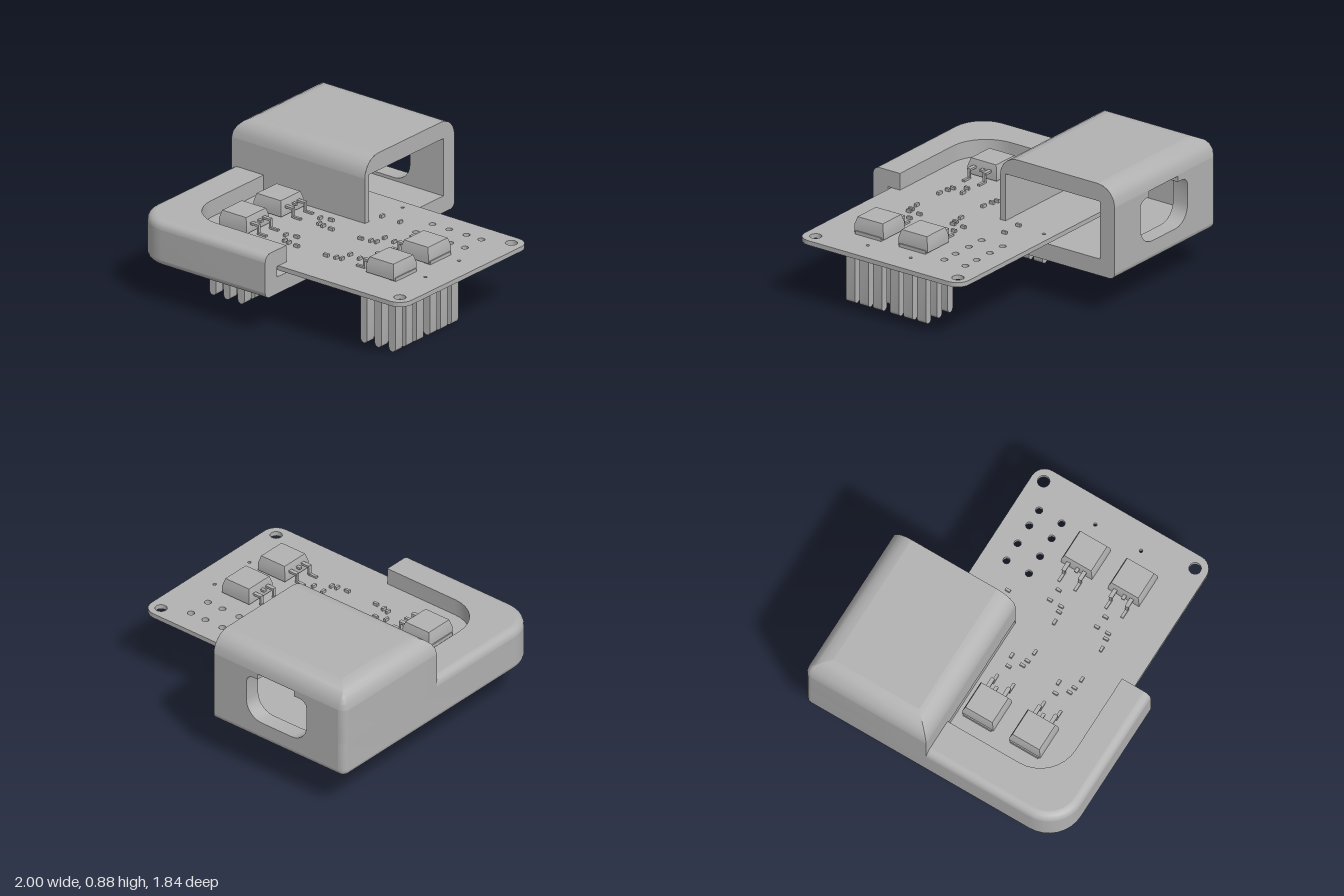
import * as THREE from 'three';
import { toCreasedNormals } from 'three/addons/utils/BufferGeometryUtils.js';

const grey = new THREE.MeshStandardMaterial({ color: 0xb2b2b2, side: THREE.DoubleSide });
grey.name = 'grey';

const PI = Math.PI, CUT = 0.04, BACK = -0.92, FRONT = 0.915, STEP = -0.05;
const V2 = (x, y) => new THREE.Vector2(x, y);

function add(parent, name, geo, x = 0, y = 0, z = 0) {
  const m = new THREE.Mesh(geo, grey);
  m.name = name;
  m.position.set(x, y, z);
  parent.add(m);
  return m;
}
const box = (p, name, w, h, d, x, y, z) => add(p, name, new THREE.BoxGeometry(w, h, d), x, y, z);

// points of an arc in any plane
function arc(cx, cy, r, a0, a1, n = 6) {
  return Array.from({ length: n + 1 }, (_, k) => {
    const a = a0 + (a1 - a0) * k / n;
    return V2(cx + r * Math.cos(a), cy + r * Math.sin(a));
  });
}

// surface through rows of equally many 3D points
function skin(rows) {
  const n = rows[0].length, idx = [];
  for (let r = 0; r < rows.length - 1; r++)
    for (let c = 0; c < n - 1; c++) {
      const a = r * n + c;
      idx.push(a, a + 1, a + n, a + 1, a + n + 1, a + n);
    }
  const g = new THREE.BufferGeometry().setFromPoints(rows.flat());
  g.setIndex(idx);
  return toCreasedNormals(g, 0.45);
}
const level = (pts, y) => pts.map(p => new THREE.Vector3(p.x, y, p.y));
const flat = (pts, y) => new THREE.ShapeGeometry(new THREE.Shape(pts)).rotateX(PI / 2).translate(0, y, 0);
const endFace = (pts, x) => new THREE.ShapeGeometry(new THREE.Shape(pts)).rotateY(-PI / 2).translate(x, 0, 0);
const rect = (x0, y0, x1, y1) => [V2(x0, y0), V2(x1, y0), V2(x1, y1), V2(x0, y1)];

// plan outlines of the case, shrunk by an inset
function backCorner(i) {
  const r = Math.max(0.05 - i, 0.002);
  return arc(-1 + i + r, BACK + i + r, r, -PI / 2, -PI, 4);
}
function frontCorner(i) {
  return [...arc(-0.77, FRONT - 0.23, 0.23 - i, PI, PI / 2, 8), V2(CUT, FRONT - i)];
}
const outer = i => [V2(CUT, BACK + i), ...backCorner(i), ...frontCorner(i)];
const hood = i => [V2(CUT, BACK + i), ...backCorner(i), V2(-1 + i, STEP - i), V2(CUT, STEP - i)];
const rim = i => [V2(-1 + i, STEP), ...frontCorner(i)];
// rounded edge: rows rising from y0 with radius r
const round = (path, y0, r, dir) => Array.from({ length: 6 }, (_, k) => {
  const t = k / 5 * PI / 2;
  return level(path(r * (1 - Math.cos(t))), y0 + dir * r * Math.sin(t));
});

function buildCase() {
  const g = new THREE.Group();
  g.name = 'case';
  // outside of the tray and hood
  add(g, 'bottomEdge', skin(round(outer, 0.31, 0.04, -1)));
  add(g, 'bottom', flat(outer(0.04), 0.27));
  add(g, 'trayWall', skin([level(outer(0).slice(1), 0.31), level(outer(0).slice(1), 0.51)]));
  add(g, 'hoodWall', skin([level(hood(0).slice(1), 0.51), level(hood(0).slice(1), 0.745)]));
  add(g, 'hoodEdge', skin(round(hood, 0.745, 0.13, 1)));
  add(g, 'hoodTop', flat(hood(0.13), 0.875));

  // raised rim with its curved inner edge
  const inner = [V2(CUT, 0.71), ...arc(-0.5, 0.46, 0.25, PI / 2, PI, 8), V2(-0.75, STEP)];
  add(g, 'rimEdge', skin(round(rim, 0.51, 0.05, 1)));
  add(g, 'rimTop', flat([...rim(0.05), ...inner], 0.56));
  add(g, 'rimUnderside', flat([...rim(0.02), ...inner], 0.45));
  add(g, 'rimInnerWall', skin([level(inner, 0.45), level(inner, 0.56)]));
  box(g, 'hoodFrontWall', 0.87, 0.3, 0.038, -0.395, 0.6, -0.071);

  // cut face at the open end
  add(g, 'cutFace', endFace([
    ...arc(BACK + 0.04, 0.31, 0.04, PI, 1.5 * PI), ...arc(FRONT - 0.04, 0.31, 0.04, -PI / 2, 0),
    ...arc(FRONT - 0.05, 0.51, 0.05, 0, PI / 2),
    V2(0.71, 0.56), V2(0.71, 0.45), V2(0.8, 0.45), V2(0.8, 0.38), V2(-0.81, 0.38),
    V2(-0.81, 0.76), V2(-0.09, 0.76), V2(-0.09, 0.45), V2(STEP, 0.45),
    ...arc(STEP - 0.13, 0.745, 0.13, 0, PI / 2), ...arc(BACK + 0.13, 0.745, 0.13, PI / 2, PI)
  ], CUT));

  // cavity
  const line = pts => skin([CUT, -0.9].map(x => pts.map(p => new THREE.Vector3(x, p.y, p.x))));
  add(g, 'cavityFloor', line([V2(0.8, 0.45), V2(0.8, 0.38), V2(-0.81, 0.38)]));
  add(g, 'cavityCeiling', line([V2(-0.81, 0.76), V2(-0.09, 0.76), V2(-0.09, 0.45)]));
  add(g, 'cavityEnd', endFace(rect(-0.81, 0.38, -0.09, 0.76), -0.9));
  add(g, 'slotEnd', endFace(rect(-0.09, 0.38, 0.8, 0.45), -0.9));

  // back wall with a rounded connector window and a tab notch
  const win = [
    ...arc(-0.58, 0.52, 0.12, PI, 1.5 * PI), ...arc(-0.34, 0.52, 0.12, -PI / 2, 0),
    ...arc(-0.27, 0.65, 0.05, 0, PI / 2, 3), V2(-0.31, 0.7), V2(-0.31, 0.738),
    V2(-0.6, 0.738), V2(-0.6, 0.7), ...arc(-0.65, 0.65, 0.05, PI / 2, PI, 3)
  ];
  for (const [name, pts, z] of [
    ['backOuter', rect(-0.95, 0.31, CUT, 0.745), BACK], ['backInner', rect(-0.9, 0.38, CUT, 0.76), -0.81]]) {
    const s = new THREE.Shape(pts);
    s.holes.push(new THREE.Path(win));
    add(g, name, new THREE.ShapeGeometry(s), 0, 0, z);
  }
  add(g, 'windowEdge', skin([BACK, -0.81].map(z => [...win, win[0]].map(p => new THREE.Vector3(p.x, p.y, z)))));
  return g;
}

// circuit board with mounting, terminal and small holes
function buildBoard() {
  const s = new THREE.Shape([V2(-0.89, -0.465),
    ...arc(0.91, -0.375, 0.09, -PI / 2, 0), ...arc(0.91, 0.69, 0.09, 0, PI / 2), V2(-0.89, 0.78)]);
  const hole = (x, z, r) => s.holes.push(new THREE.Path(arc(x, z, r, 0, 2 * PI, 20).slice(0, 20)));
  for (const z of [-0.385, 0.695]) hole(0.915, z, 0.038);
  for (const z of [-0.31, -0.15]) for (const x of [0.36, 0.49, 0.625, 0.74]) hole(x, z, 0.022);
  for (const z of [0.03, 0.355]) hole(0.84, z, 0.011);
  hole(0.057, -0.395, 0.011);
  hole(-0.735, 0.17, 0.012);
  hole(-0.73, 0.51, 0.012);
  return new THREE.ExtrudeGeometry(s, { depth: 0.03, bevelEnabled: false }).rotateX(PI / 2).translate(0, 0.447, 0);
}

// power chip, leads toward -x
function buildChip() {
  const g = new THREE.Group();
  g.name = 'chip';
  const body = new THREE.BoxGeometry(0.215, 0.1, 0.22, 1, 2, 1);
  const p = body.attributes.position;
  for (let k = 0; k < p.count; k++) if (p.getY(k) > 0.01) {
    p.setX(k, p.getX(k) * 0.87);
    p.setZ(k, p.getZ(k) * 0.87);
  }
  body.computeVertexNormals();
  add(g, 'chipBody', body, 0, 0.058, 0);
  box(g, 'chipTab', 0.05, 0.022, 0.2, 0.09, 0.011, 0);
  box(g, 'middleLead', 0.03, 0.014, 0.022, -0.12, 0.06, 0.01);
  for (const z of [-0.058, 0.058]) {
    box(g, 'leadShoulder', 0.06, 0.014, 0.026, -0.135, 0.063, z);
    box(g, 'leadDrop', 0.013, 0.065, 0.02, -0.161, 0.037, z);
    box(g, 'leadFoot', 0.06, 0.012, 0.018, -0.192, 0.008, z);
  }
  return g;
}

// heat sink: block with a 3 by 3 grid of round-ended fins
function buildSink() {
  const g = new THREE.Group();
  g.name = 'heatSink';
  box(g, 'sinkBase', 0.272, 0.075, 0.274, 0, 0.378, 0);
  const s = new THREE.Shape([V2(0.026, 0.34), V2(-0.026, 0.34), ...arc(0, 0.026, 0.026, PI, 2 * PI, 8)]);
  const fin = toCreasedNormals(new THREE.ExtrudeGeometry(s, { depth: 0.068, bevelEnabled: false }), 0.5);
  for (const x of [-0.11, 0, 0.11]) for (const z of [-0.103, 0, 0.103]) add(g, 'fin', fin, x, 0, z - 0.034);
  return g;
}

export function createModel() {
  const model = new THREE.Group();
  model.name = 'boardInCase';
  model.add(buildCase());
  add(model, 'circuitBoard', buildBoard());

  // small parts as x, z, lies along x
  const bits = [[-0.22, 0.06, 0], [-0.15, 0.04, 1], [-0.17, 0.13, 0], [-0.13, 0.14, 0], [-0.06, 0.15, 1],
    [0.17, 0.15, 1], [0.24, 0.138, 0], [0.277, 0.13, 0], [0.277, 0.05, 0], [0.36, 0.062, 0]];
  const small = (x, z, along) => box(model, 'smallPart', along ? 0.035 : 0.016, 0.02, along ? 0.018 : 0.033, x, 0.456, z);
  for (const z of [0, 0.335]) {
    for (const [x, dz, along] of bits) small(x, z + dz, along);
    for (const side of [1, -1]) {
      const chip = buildChip();
      chip.position.set(0.055 + side * 0.575, 0.447, z + 0.09);
      chip.rotation.y = side > 0 ? 0 : PI;
      const sink = buildSink();
      sink.position.set(0.052 + side * 0.59, 0, z + 0.097);
      model.add(chip, sink);
    }
  }
  small(0.055, -0.2, 0);
  small(0.197, -0.2, 0);
  return model;
}
